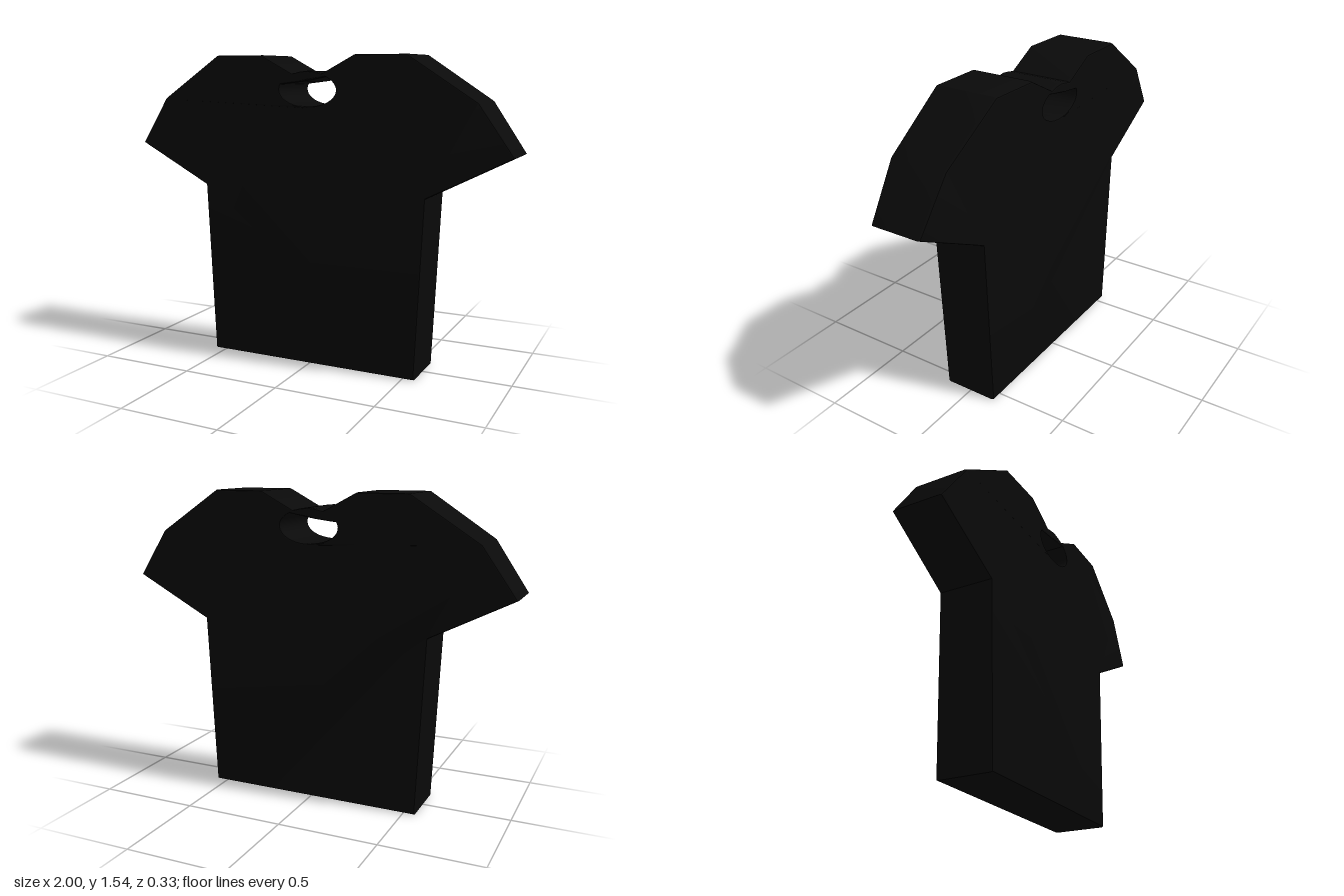
import * as THREE from 'three';
import { toCreasedNormals } from 'three/addons/utils/BufferGeometryUtils.js';

export function createModel() {
  const group = new THREE.Group();
  group.name = 'tShirt';
  const material = new THREE.MeshStandardMaterial({ color: 0x0a0a0a });

  // Right half of the outline, hem to neck, then mirrored
  const half = [
    [0.558, 0], [0.598, 0.885], [1, 1.09], [0.835, 1.33],
    [0.505, 1.545], [0.245, 1.545], [0.078, 1.457], [0.04, 1.466],
  ];
  const outline = [...half, [0, 1.47], ...half.map(([x, y]) => [-x, y]).reverse()];
  const shape = new THREE.Shape(outline.map(([x, y]) => new THREE.Vector2(x, y)));

  // Neck opening: a lower ellipse closed by a slanted collar strip
  const neck = [];
  const steps = 28;
  for (let i = 0; i <= steps; i++) {
    const a = THREE.MathUtils.degToRad(162 + (248 * i) / steps);
    neck.push(new THREE.Vector2(0.15 * Math.cos(a), 1.38 + 0.08 * Math.sin(a)));
  }
  neck.push(new THREE.Vector2(0.05, 1.432), new THREE.Vector2(-0.03, 1.418));
  shape.holes.push(new THREE.Path(neck));

  const bevel = 0.007;
  const geometry = new THREE.ExtrudeGeometry(shape, {
    depth: 0.27,
    bevelThickness: 0.015,
    bevelSize: bevel,
    bevelOffset: -bevel,
    bevelSegments: 3,
  });
  geometry.translate(0, 0, -0.135);

  // Thicken towards the shoulders, thin towards the sleeve ends
  const p = geometry.attributes.position;
  for (let i = 0; i < p.count; i++) {
    const x = p.getX(i);
    const rise = THREE.MathUtils.clamp((p.getY(i) - 0.885) / 0.6, 0, 1);
    const halfDepth = 0.14 + rise * 0.025 - 0.02 * x * x * Math.min(1, rise * 3);
    p.setZ(i, p.getZ(i) * (halfDepth / 0.15));
  }

  const shirt = new THREE.Mesh(toCreasedNormals(geometry, 0.5), material);
  shirt.name = 'shirtBody';
  group.add(shirt);
  return group;
}
